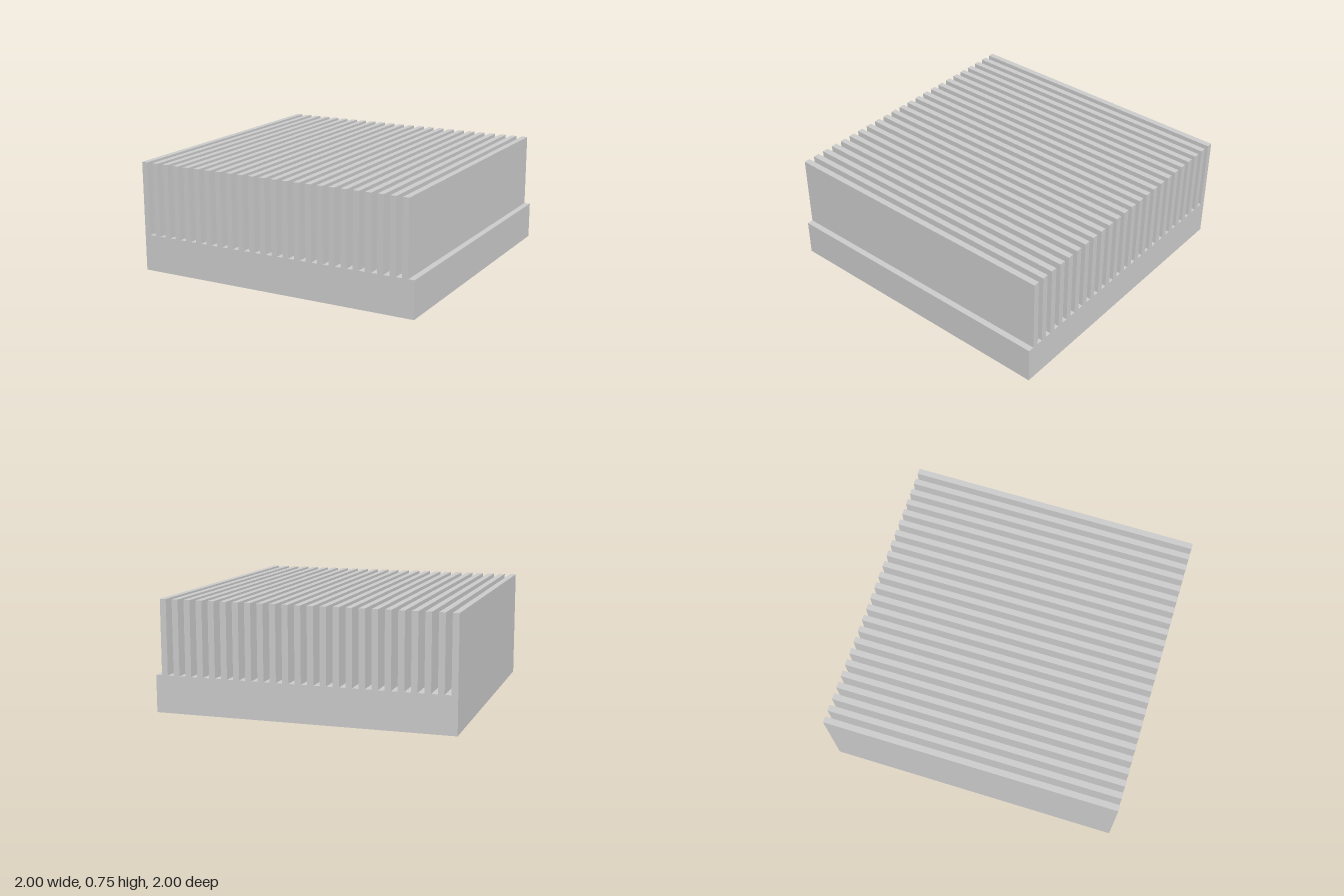
import * as THREE from 'three';

const FINS = 24;
const PITCH = 2 / FINS;
const FIN_WIDTH = PITCH / 2;
const BASE_TOP = 0.25;
const FIN_TOP = 0.75;
const DEPTH = 2;

// Comb-shaped cross-section: solid base with evenly spaced upright fins
function combProfile() {
  const shape = new THREE.Shape();
  shape.moveTo(-1, 0);
  shape.lineTo(1, 0);
  shape.lineTo(1, BASE_TOP);
  for (let i = FINS - 1; i >= 0; i--) {
    const left = -1 + i * PITCH;
    const right = left + FIN_WIDTH;
    shape.lineTo(right, BASE_TOP);
    shape.lineTo(right, FIN_TOP);
    shape.lineTo(left, FIN_TOP);
    if (i > 0) shape.lineTo(left, BASE_TOP);
  }
  shape.closePath();
  return shape;
}

export function createModel() {
  const group = new THREE.Group();
  group.name = 'heatSink';

  // Base and fins are one extruded solid
  const geometry = new THREE.ExtrudeGeometry(combProfile(), { depth: DEPTH, bevelEnabled: false });
  geometry.translate(0, 0, -DEPTH / 2);
  const body = new THREE.Mesh(geometry, new THREE.MeshStandardMaterial({ color: 0xcccccc }));
  body.name = 'finnedBase';
  group.add(body);

  return group;
}
